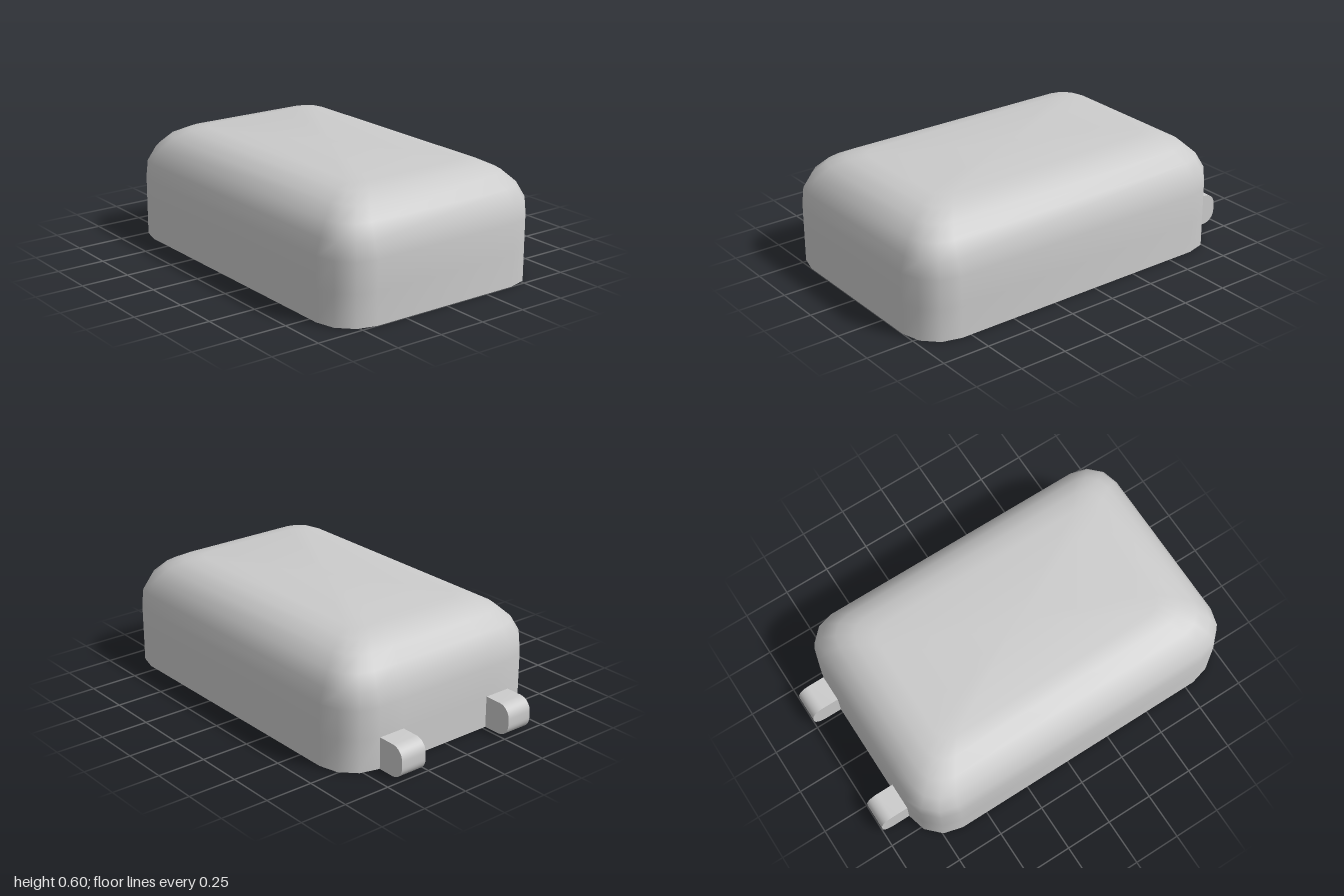
import * as THREE from 'three';
import { toCreasedNormals } from 'three/addons/utils/BufferGeometryUtils.js';

const WALL = 0.015, FILLET = 0.275, CORNER = 0.2, TAB_H = 0.165;
const CENTRE_X = 0.0775, HALF_X = 0.9225, HALF_Z = 0.615;
const INNER_X = CENTRE_X - HALF_X + WALL;

// Rounded rectangle at height y, inset from the footprint; two extra points frame the tab openings
function ring(inset, y, r) {
  const pts = [], hx = HALF_X - inset - r, hz = HALF_Z - inset - r;
  [[1, 1], [-1, 1], [-1, -1], [1, -1]].forEach(([sx, sz], q) => {
    for (let k = 0; k <= 3; k++) {
      const a = (q + k / 3) * Math.PI / 2;
      pts.push([CENTRE_X + sx * hx + r * Math.cos(a), y, sz * hz + r * Math.sin(a)]);
    }
    if (q === 1) for (const s of [0.65, -0.65]) pts.push([CENTRE_X - hx - r, y, s * hz]);
  });
  return pts;
}

// Rings of one skin from the rim up to the flat top
function skin(t) {
  const rings = [ring(t, 0, CORNER - t), ring(t, TAB_H, CORNER - t)];
  for (let k = 0; k <= 5; k++) {
    const a = k / 5 * Math.PI / 2, r = FILLET - t;
    rings.push(ring(t + r * (1 - Math.cos(a)), 0.32 + r * Math.sin(a), CORNER - t - 0.12 * k / 5));
  }
  return rings;
}

// Open-bottomed shell: inner skin downwards, rim, outer skin upwards
function shellGeometry() {
  const inner = skin(WALL).reverse(), outer = skin(0);
  const rings = [...inner, ...outer], n = rings[0].length, pos = [];
  const tri = (a, b, c) => pos.push(...a, ...b, ...c);
  for (let j = 0; j < rings.length - 1; j++) {
    const tabRow = j === inner.length - 2 || j === inner.length;
    for (let i = 0; i < n; i++) {
      if (tabRow && (i === 7 || i === 9)) continue; // openings into the tabs
      const m = (i + 1) % n, a = rings[j][i], b = rings[j][m], c = rings[j + 1][i], d = rings[j + 1][m];
      tri(a, c, b);
      tri(b, c, d);
    }
  }
  // flat ceiling and flat top
  const low = rings[0], top = rings[rings.length - 1];
  for (let i = 0; i < n; i++) {
    const m = (i + 1) % n;
    tri([CENTRE_X, low[0][1], 0], low[i], low[m]);
    tri([CENTRE_X, top[0][1], 0], top[m], top[i]);
  }
  const g = new THREE.BufferGeometry();
  g.setAttribute('position', new THREE.Float32BufferAttribute(pos, 3));
  return toCreasedNormals(g, 0.7);
}

// Hollow tab with rounded outer end, open towards the inside of the shell
function tabGeometry() {
  const r = 0.065, x = -1 + r;
  const s = new THREE.Shape();
  s.moveTo(INNER_X, 0);
  s.lineTo(INNER_X, TAB_H);
  s.lineTo(x, TAB_H);
  s.absarc(x, TAB_H - r, r, Math.PI / 2, Math.PI, false);
  s.absarc(x, r, r, Math.PI, Math.PI * 1.5, false);
  s.closePath();
  const src = new THREE.ExtrudeGeometry(s, { depth: 0.145, bevelEnabled: false, curveSegments: 4 });
  const p = src.toNonIndexed().attributes.position.array, pos = [];
  for (let i = 0; i < p.length; i += 9) {
    const open = [0, 3, 6].every(k => Math.abs(p[i + k] - INNER_X) < 1e-4);
    if (!open) pos.push(...p.slice(i, i + 9));
  }
  const g = new THREE.BufferGeometry();
  g.setAttribute('position', new THREE.Float32BufferAttribute(pos, 3));
  return toCreasedNormals(g, 0.7);
}

export function createModel() {
  const model = new THREE.Group();
  model.name = 'cover';
  const shell = new THREE.Mesh(shellGeometry(), new THREE.MeshStandardMaterial({ color: 0xcccccc }));
  shell.name = 'shell';
  model.add(shell);

  const tabMaterial = new THREE.MeshStandardMaterial({ color: 0xcccccc, side: THREE.DoubleSide });
  const tabGeo = tabGeometry();
  [['frontTab', 0.27], ['backTab', -0.415]].forEach(([name, z]) => {
    const tab = new THREE.Mesh(tabGeo, tabMaterial);
    tab.name = name;
    tab.position.z = z;
    model.add(tab);
  });
  return model;
}
